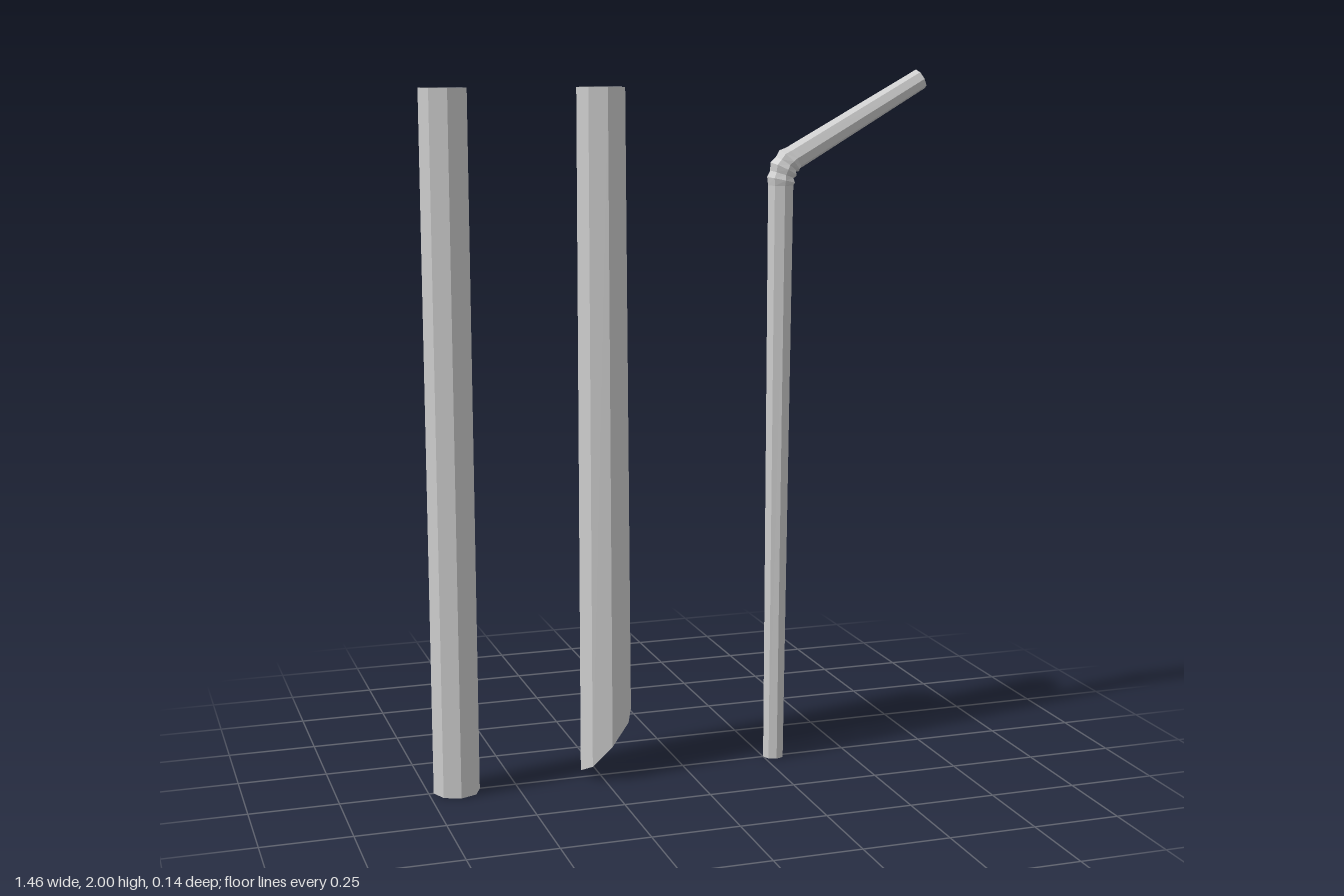
import * as THREE from 'three';

const SIDES = 8;
const material = new THREE.MeshStandardMaterial({
  color: 0xcccccc, flatShading: true, side: THREE.DoubleSide,
});

// Open tube through octagonal rings: [x, y, tilt in degrees, radius in the xy plane, radius in z]
function makeTube(name, rings) {
  const positions = [];
  const index = [];
  for (const [x, y, tilt, r, rz = r] of rings) {
    const a = THREE.MathUtils.degToRad(tilt);
    for (let i = 0; i < SIDES; i++) {
      const t = (i / SIDES) * Math.PI * 2;
      const u = Math.cos(t) * r;
      positions.push(x + u * Math.cos(a), y - u * Math.sin(a), Math.sin(t) * rz);
    }
  }
  for (let k = 0; k < rings.length - 1; k++) {
    for (let i = 0; i < SIDES; i++) {
      const a = k * SIDES + i;
      const b = k * SIDES + ((i + 1) % SIDES);
      index.push(a, a + SIDES, b, b, a + SIDES, b + SIDES);
    }
  }
  const geometry = new THREE.BufferGeometry();
  geometry.setAttribute('position', new THREE.Float32BufferAttribute(positions, 3));
  geometry.setIndex(index);
  geometry.computeVertexNormals();
  const mesh = new THREE.Mesh(geometry, material);
  mesh.name = name;
  return mesh;
}

export function createModel() {
  const group = new THREE.Group();
  group.name = 'drinkingStraws';

  // Plain straight straw
  group.add(makeTube('straightStraw', [
    [-0.67, 0, 0, 0.066, 0.064],
    [-0.67, 1.955, 0, 0.066, 0.064],
  ]));

  // Wide straw with a slanted, pointed lower end
  group.add(makeTube('pointedStraw', [
    [-0.2325, 0.105, -48.4, 0.1137, 0.07],
    [-0.234, 1.955, 0, 0.069, 0.07],
  ]));

  // Bendy straw: lower tube, corrugated elbow, tapering mouthpiece
  const bendy = new THREE.Group();
  bendy.name = 'bendyStraw';
  const elbowStart = [0.29, 1.68, 0, 0.038, 0.035];
  const elbowEnd = [0.338, 1.762, 58, 0.036, 0.034];
  bendy.add(makeTube('lowerTube', [[0.281, 0, 0, 0.031], elbowStart]));
  bendy.add(makeTube('corrugatedElbow', [
    elbowStart,
    [0.291, 1.695, 12, 0.043, 0.039],
    [0.293, 1.71, 18, 0.037, 0.034],
    [0.298, 1.725, 26, 0.044, 0.039],
    [0.305, 1.738, 35, 0.037, 0.034],
    [0.315, 1.748, 45, 0.042, 0.039],
    [0.327, 1.756, 54, 0.036, 0.034],
    elbowEnd,
  ]));
  bendy.add(makeTube('mouthpiece', [elbowEnd, [0.713, 1.974, 61, 0.03, 0.029]]));
  group.add(bendy);

  return group;
}
